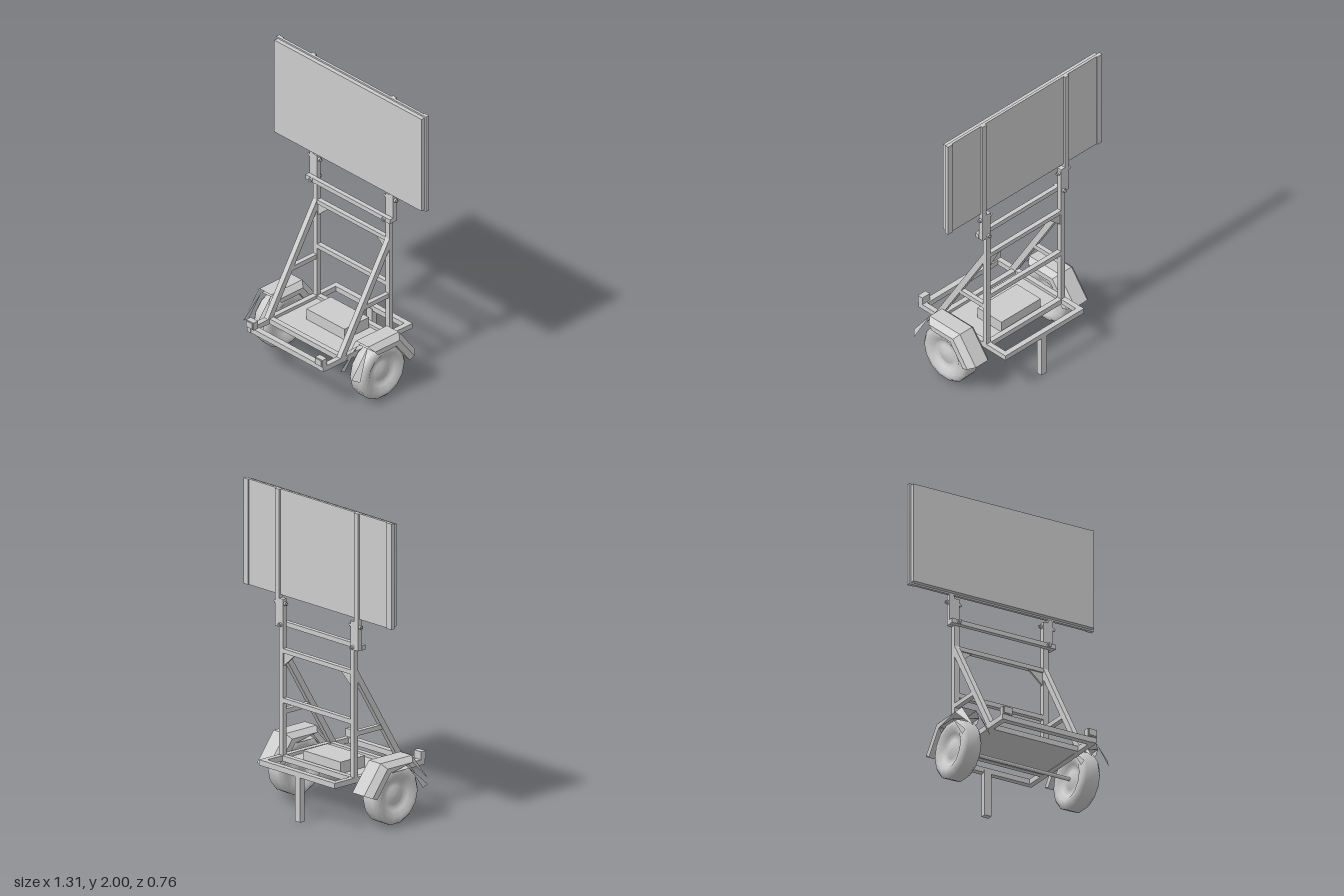
import * as THREE from 'three';

const mat = new THREE.MeshStandardMaterial({ color: 0xcccccc });
const thin = new THREE.MeshStandardMaterial({ color: 0xcccccc, side: THREE.DoubleSide, flatShading: true });

export function createModel() {
  const model = new THREE.Group();
  model.name = 'trailerSign';

  const add = (name, geo, m = mat) => {
    const mesh = new THREE.Mesh(geo, m);
    mesh.name = name;
    model.add(mesh);
    return mesh;
  };
  // box given by its limits
  const box = (name, x0, x1, y0, y1, z0, z1) =>
    add(name, new THREE.BoxGeometry(x1 - x0, y1 - y0, z1 - z0))
      .position.set((x0 + x1) / 2, (y0 + y1) / 2, (z0 + z1) / 2);
  // the same box on both sides
  const pair = (name, x0, x1, ...rest) => {
    box(name + 'Left', x0, x1, ...rest);
    box(name + 'Right', -x1, -x0, ...rest);
  };
  const extrude = (points, depth) => new THREE.ExtrudeGeometry(
    new THREE.Shape(points.map(p => new THREE.Vector2(...p))), { depth, bevelEnabled: false });
  const rod = (name, r, length, axis, x, y, z) => {
    const geo = new THREE.CylinderGeometry(r, r, length, 10);
    if (axis === 'x') geo.rotateZ(Math.PI / 2); else geo.rotateX(Math.PI / 2);
    add(name, geo).position.set(x, y, z);
  };

  // display board
  box('displayPanel', -0.645, 0.645, 1.34, 1.99, -0.185, -0.157);
  box('boardBack', -0.657, 0.657, 1.33, 2.0, -0.203, -0.185);
  pair('boardEndStrip', 0.615, 0.657, 1.33, 2.0, -0.21, -0.203);

  // mast: lower posts with the board's posts bolted beside them
  pair('lowerPost', 0.3, 0.335, 0.285, 1.31, -0.217, -0.185);
  pair('boardPost', 0.335, 0.368, 1.13, 2.0, -0.217, -0.186);
  box('mastClampBar', -0.37, 0.37, 1.13, 1.16, -0.185, -0.155);
  box('upperCrossbar', -0.3, 0.3, 0.97, 0.998, -0.217, -0.185);
  box('middleCrossbar', -0.3, 0.3, 0.655, 0.685, -0.217, -0.185);

  for (const s of [-1, 1]) {
    // bolts
    rod('pivotBolt', 0.007, 0.115, 'x', s * 0.333, 1.28, -0.201);
    rod('clampBolt', 0.007, 0.1, 'z', s * 0.32, 1.145, -0.188);
    for (const x of [0.292, 0.376]) rod('pivotNut', 0.013, 0.014, 'x', s * x, 1.28, -0.201);
    for (const z of [-0.149, -0.223]) rod('clampNut', 0.014, 0.012, 'z', s * 0.32, 1.145, z);

    // corner gusset
    const corner = [[s * 0.3, 0.97], [s * 0.3, 0.888], [s * 0.205, 0.97]];
    add('gusset', extrude(corner, 0.012)).position.z = -0.207;

    // sloping brace
    const brace = extrude([[-0.187, 0.998], [-0.187, 0.925], [0.18, 0.32], [0.225, 0.32]], 0.035);
    brace.rotateY(-Math.PI / 2);
    add('slopingBrace', brace).position.x = s > 0 ? 0.335 : -0.3;
  }
  pair('braceTie', 0.302, 0.333, 0.58, 0.61, -0.187, 0.025);

  // base frame
  pair('sideRail', 0.3, 0.335, 0.285, 0.32, -0.38, 0.37);
  box('rearRail', -0.3, 0.3, 0.285, 0.32, -0.38, -0.343);
  box('frontRail', -0.3, 0.3, 0.285, 0.32, 0.327, 0.367);
  box('floorFrontBeam', -0.3, 0.3, 0.285, 0.32, 0.177, 0.212);
  box('floorRearBeam', -0.3, 0.3, 0.285, 0.32, -0.22, -0.185);
  box('floorPlate', -0.3, 0.3, 0.288, 0.3, -0.185, 0.177);
  box('controlBox', -0.167, 0.167, 0.3, 0.374, -0.175, 0.03);
  pair('cornerLight', 0.27, 0.335, 0.32, 0.37, 0.337, 0.376);
  pair('lightLens', 0.277, 0.328, 0.326, 0.364, 0.376, 0.38);
  box('supportLeg', -0.024, 0.024, 0, 0.3, -0.375, -0.338);
  rod('axle', 0.012, 0.74, 'x', 0, 0.2, 0);

  // wheels: smooth low-sided lathe with a domed hub on each face
  const half = [[0, 0.05], [0.03, 0.048], [0.06, 0.038], [0.08, 0.032], [0.1, 0.045],
    [0.135, 0.067], [0.168, 0.062], [0.188, 0.042]];
  const profile = [...half, ...half.slice().reverse().map(([r, w]) => [r, -w])]
    .reverse().map(p => new THREE.Vector2(...p));
  const wheel = new THREE.LatheGeometry(profile, 14).rotateZ(Math.PI / 2);

  // mudguard: chamfered section swept over three straight flats
  const low = [[0.19, 0.212], [0.078, 0.36], [-0.078, 0.36], [-0.19, 0.212]];
  const top = [[0.267, 0.245], [0.13, 0.424], [-0.13, 0.424], [-0.267, 0.245]];
  const section = [[-0.087, 0], [-0.087, 0.5], [-0.052, 1], [0.052, 1], [0.087, 0.5], [0.087, 0]];
  const pos = [], index = [], n = section.length;
  for (let i = 0; i < 4; i++) for (const [x, t] of section) {
    pos.push(x, THREE.MathUtils.lerp(low[i][1], top[i][1], t), THREE.MathUtils.lerp(low[i][0], top[i][0], t));
  }
  for (let i = 0; i < 3; i++) for (let j = 0; j < n - 1; j++) {
    const a = i * n + j, b = a + n;
    index.push(a, a + 1, b, b, a + 1, b + 1);
  }
  const guard = new THREE.BufferGeometry();
  guard.setAttribute('position', new THREE.Float32BufferAttribute(pos, 3));
  guard.setIndex(index);
  // front-to-back winding faces outward when the order is swapped
  for (let k = 0; k < index.length; k += 3) guard.index.setXYZ(k / 3, index[k], index[k + 1], index[k + 2]);
  guard.computeVertexNormals();

  for (const s of [-1, 1]) {
    add('wheel', wheel).position.set(s * 0.423, 0.197, 0);
    add('mudguard', guard, thin).position.x = s * 0.424;
  }
  return model;
}
